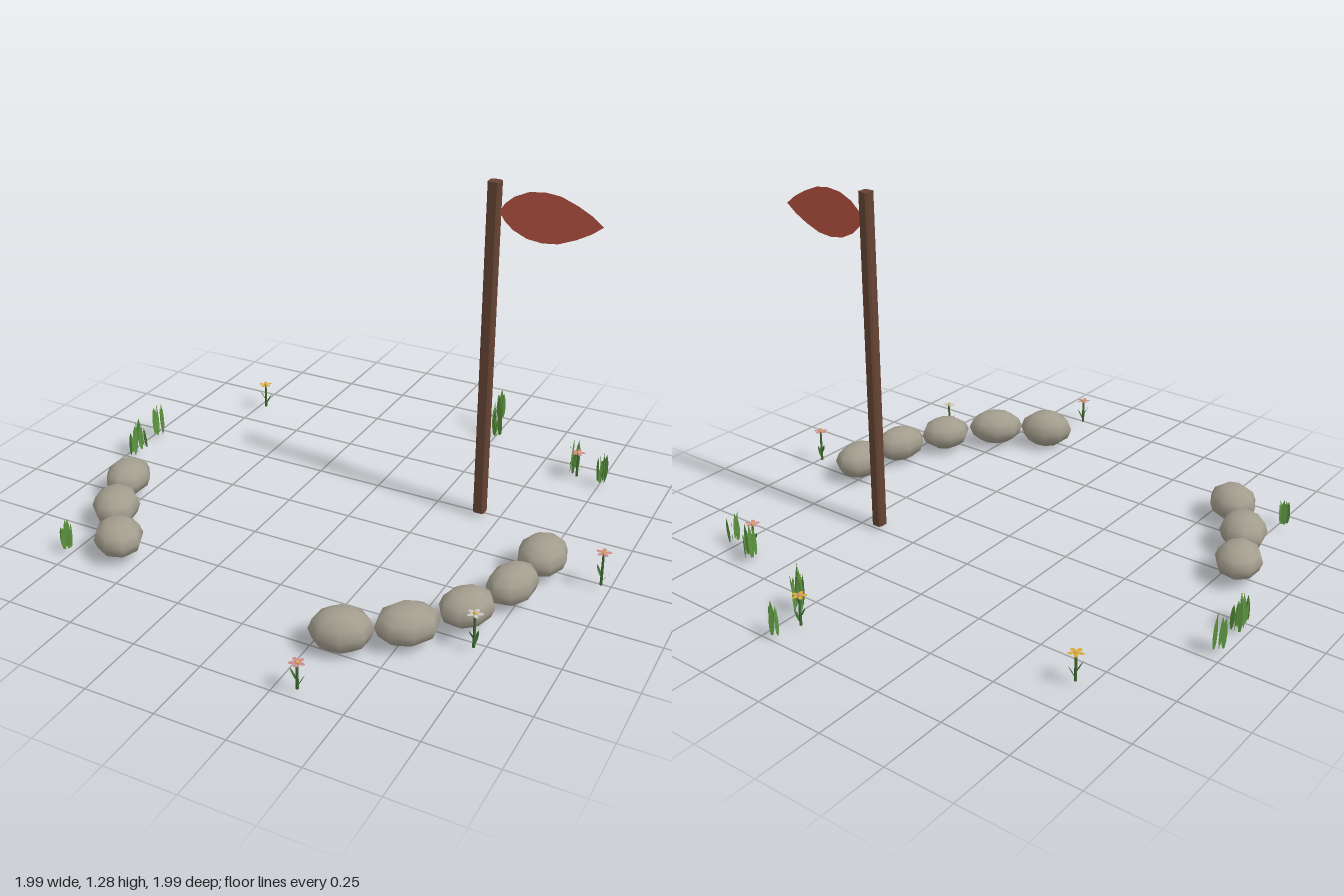
import * as THREE from 'three';

const mat = (name, color, side = THREE.FrontSide) => {
  const m = new THREE.MeshStandardMaterial({ color, side });
  m.name = name;
  return m;
};

// Small seeded generator for natural variation
function seeded(seed) {
  let s = seed;
  return () => (s = (s * 16807) % 2147483647) / 2147483647;
}

// Flat spindle-shaped leaf of unit height, standing on its base
function bladeGeometry() {
  const half = [[0.2, 0], [0.42, 0.2], [0.5, 0.45], [0.36, 0.75]];
  const s = new THREE.Shape();
  s.moveTo(0, 0);
  half.forEach(([w, y]) => s.lineTo(w, y));
  s.lineTo(0, 1);
  [...half].reverse().forEach(([w, y]) => s.lineTo(-w, y));
  return new THREE.ShapeGeometry(s);
}

export function createModel() {
  const model = new THREE.Group();
  model.name = 'stoneBorderWithFlag';
  const D = THREE.DoubleSide;
  const stoneMat = mat('stone grey', 0xa39d8e);
  const woodMat = mat('post brown', 0x664433);
  const flagMat = mat('flag red', 0xbb5443, D);
  const grassMat = mat('grass green', 0x5c943f, D);
  const stemMat = mat('stem green', 0x3f6b33, D);
  const yellowMat = mat('petal yellow', 0xd9a93c, D);
  const pinkMat = mat('petal pink', 0xd08a8a, D);
  const whiteMat = mat('petal pale', 0xc9c8bd, D);
  const rnd = seeded(4711);

  const add = (parent, name, geo, material, x = 0, y = 0, z = 0) => {
    const m = new THREE.Mesh(geo, material);
    m.name = name;
    m.position.set(x, y, z);
    parent.add(m);
    return m;
  };

  // Two arcs of stones: x, z, radial half width, tangential half length, half height
  const stoneGeo = new THREE.SphereGeometry(1, 8, 6);
  [
    [0.762, 0.03, 0.087, 0.105, 0.068], [0.733, 0.238, 0.076, 0.106, 0.068],
    [0.65, 0.428, 0.08, 0.1, 0.065], [0.519, 0.599, 0.085, 0.11, 0.068],
    [0.345, 0.717, 0.084, 0.106, 0.074], [-0.81, 0.238, 0.084, 0.102, 0.063],
    [-0.727, 0.428, 0.086, 0.108, 0.065], [-0.593, 0.599, 0.087, 0.102, 0.066],
  ].forEach(([x, z, rx, rz, ry]) => {
    const stone = add(model, 'stone', stoneGeo, stoneMat, x, x === 0.345 ? 0.074 : 0.077, z);
    stone.scale.set(rx, ry, rz);
    stone.rotation.y = -Math.atan2(z, x);
  });

  // Square post with narrow chamfered corners
  const h = 0.0215, c = 0.014;
  const section = new THREE.Shape([
    [h, -c], [h, c], [c, h], [-c, h], [-h, c], [-h, -c], [-c, -h], [c, -h],
  ].map(([x, y]) => new THREE.Vector2(x, y)));
  const postGeo = new THREE.ExtrudeGeometry(section, { depth: 1.265, bevelEnabled: false });
  postGeo.rotateX(-Math.PI / 2);
  add(model, 'post', postGeo, woodMat, 0.425, 0.015, -0.235);

  // Leaf-shaped flag
  const edge = [[0.018, 0.03], [0.05, 0.058], [0.1, 0.081], [0.155, 0.088], [0.21, 0.082], [0.27, 0.058], [0.32, 0.031]];
  const flag = new THREE.Shape();
  flag.moveTo(0, 0);
  edge.forEach(([x, y]) => flag.lineTo(x, -y));
  flag.lineTo(0.36, 0);
  [...edge].reverse().forEach(([x, y]) => flag.lineTo(x, y));
  add(model, 'flag', new THREE.ShapeGeometry(flag), flagMat, 0.445, 1.177, -0.235);

  // Grass tufts: x, z, height, spread in x, spread in z, blade count
  const bladeGeo = bladeGeometry();
  const blade = (parent, name, material, x, y, z, width, height, yaw, lean) => {
    const b = add(parent, name, bladeGeo, material, x, y, z);
    b.scale.set(width, height, 1);
    b.rotation.order = 'YXZ';
    b.rotation.set(lean, yaw, 0);
  };
  [
    [-0.97, -0.195, 0.14, 0.02, 0.025, 7], [-0.97, -0.06, 0.125, 0.025, 0.03, 6],
    [-0.965, -0.01, 0.115, 0.022, 0.018, 4], [-0.77, 0.665, 0.11, 0.016, 0.02, 6],
    [0.255, -0.825, 0.16, 0.022, 0.022, 8], [0.21, -0.982, 0.125, 0.02, 0.014, 7],
    [0.635, -0.685, 0.135, 0.022, 0.035, 8], [0.76, -0.645, 0.135, 0.022, 0.025, 7],
  ].forEach(([x, z, height, sx, sz, count]) => {
    const tuft = new THREE.Group();
    tuft.name = 'grassTuft';
    tuft.position.set(x, 0.015, z);
    model.add(tuft);
    for (let i = 0; i < count; i++) {
      const a = (i / count) * Math.PI * 2 + rnd();
      const r = 0.45 + 0.45 * rnd();
      blade(tuft, 'grassBlade', grassMat, Math.cos(a) * sx * r, 0, Math.sin(a) * sz * r,
        0.016 + 0.006 * rnd(), height * (0.72 + 0.28 * rnd()), rnd() * Math.PI * 2, 0.03 + 0.07 * rnd());
    }
  });

  // Flowers: x, z, height, petal and centre materials
  const petalGeo = new THREE.CircleGeometry(1, 7);
  petalGeo.rotateX(-Math.PI / 2);
  const centreGeo = new THREE.SphereGeometry(0.007, 8, 5);
  [
    [0.175, -0.895, 0.127, yellowMat, pinkMat], [-0.71, -0.612, 0.117, yellowMat, yellowMat],
    [0.66, -0.643, 0.118, pinkMat, yellowMat], [0.971, 0.025, 0.143, pinkMat, yellowMat],
    [0.33, 0.972, 0.113, pinkMat, yellowMat], [0.722, 0.54, 0.143, whiteMat, yellowMat],
  ].forEach(([x, z, height, petalMat, centreMat]) => {
    const flower = new THREE.Group();
    flower.name = 'flower';
    flower.position.set(x, 0, z);
    model.add(flower);
    const stemGeo = new THREE.CylinderGeometry(0.004, 0.005, height - 0.015, 6);
    add(flower, 'stem', stemGeo, stemMat, 0, (height + 0.015) / 2, 0);
    const turn = rnd() * Math.PI;
    for (let i = 0; i < 5; i++) {
      const a = turn + (i / 5) * Math.PI * 2;
      const petal = add(flower, 'petal', petalGeo, petalMat,
        Math.cos(a) * 0.016, height, Math.sin(a) * 0.016);
      petal.scale.set(0.012, 1, 0.008);
      petal.rotation.y = -a;
    }
    add(flower, 'flowerCentre', centreGeo, centreMat, 0, height + 0.001, 0).scale.y = 0.6;
    // Two leaves rising from the stem
    [0.6, 3.6].forEach((yaw, i) =>
      blade(flower, 'stemLeaf', stemMat, 0, 0.025 + 0.02 * i, 0, 0.014, 0.05, yaw + turn, 0.5));
  });

  return model;
}
